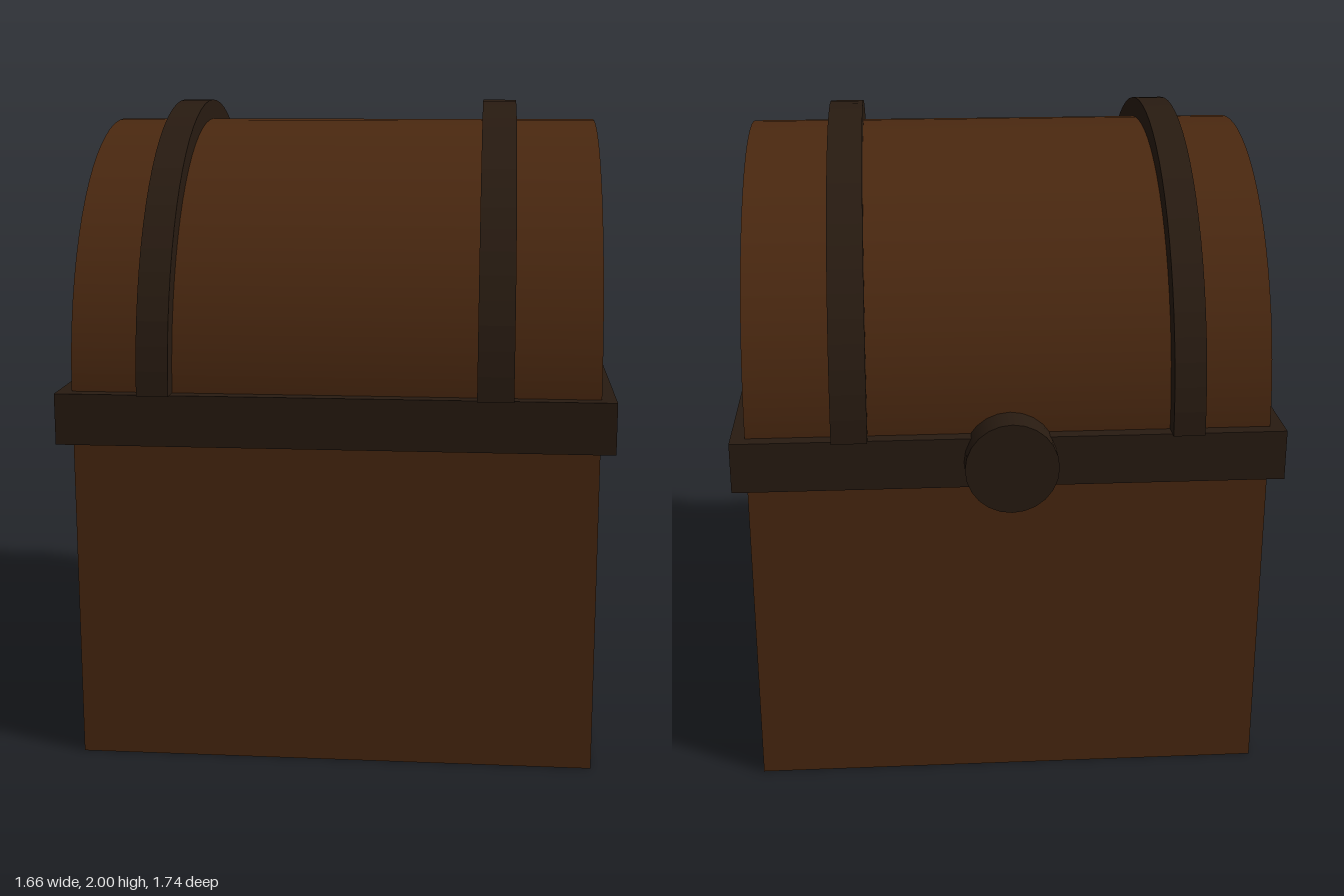
import * as THREE from 'three';

export function createModel() {
  const chest = new THREE.Group();
  chest.name = 'chest';
  const wood = new THREE.MeshStandardMaterial({ color: 0x4a2810 });
  const iron = new THREE.MeshStandardMaterial({ color: 0x281b11 });
  const midZ = 0.022, half = 0.787, lidY = 1.15;

  const add = (name, geometry, material, x, y, z) => {
    const mesh = new THREE.Mesh(geometry, material);
    mesh.name = name;
    mesh.position.set(x, y, z);
    chest.add(mesh);
  };

  // Box body and the iron band around its rim
  add('body', new THREE.BoxGeometry(half * 2, 1.1, half * 2), wood, 0, 0.55, midZ);
  add('rimBand', new THREE.BoxGeometry(1.66, 0.155, 1.66), iron, 0, 1.0725, midZ);

  // Half-barrel lid
  const lid = new THREE.CylinderGeometry(half, half, half * 2, 36, 1, false, 0, Math.PI);
  lid.rotateZ(Math.PI / 2);
  add('lid', lid, wood, 0, lidY, midZ);

  // Iron straps arching over the lid
  const arch = new THREE.Shape();
  arch.absarc(0, 0, 0.85, 0, Math.PI, false);
  arch.absarc(0, 0, 0.77, Math.PI, 0, true);
  arch.closePath();
  for (const [name, x, width] of [['rightStrap', -0.53, 0.095], ['leftStrap', 0.478, 0.107]]) {
    const strap = new THREE.ExtrudeGeometry(arch, { depth: width, bevelEnabled: false, curveSegments: 18 });
    strap.translate(0, 0, -width / 2).rotateY(Math.PI / 2);
    add(name, strap, iron, x, lidY, midZ);
  }

  // Round clasp on the back side of the band
  const clasp = new THREE.CylinderGeometry(0.14, 0.14, 0.105, 24);
  clasp.rotateX(Math.PI / 2);
  add('clasp', clasp, iron, 0, 1.075, -0.8175);

  return chest;
}
